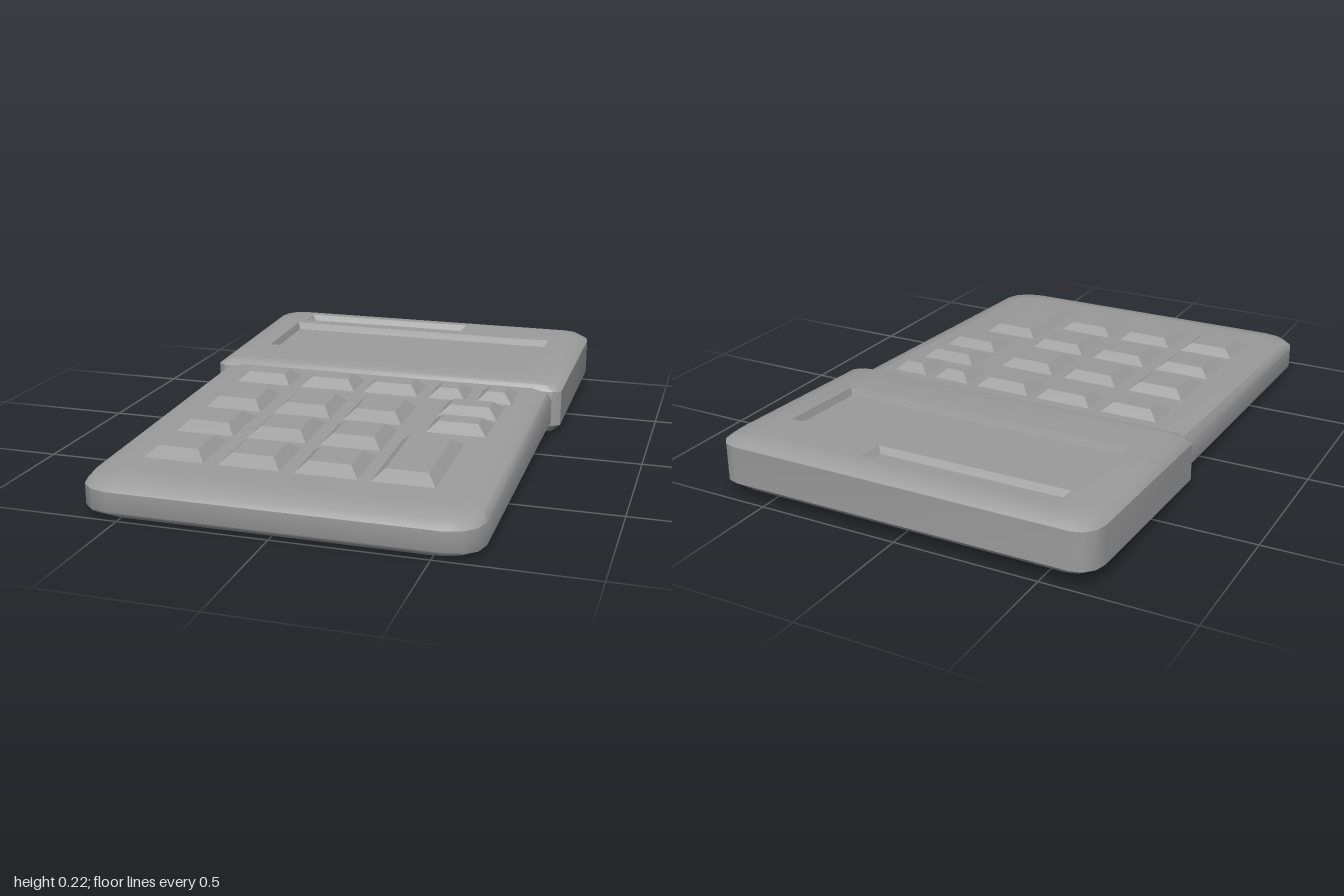
import * as THREE from 'three';
import { mergeGeometries, toCreasedNormals } from 'three/addons/utils/BufferGeometryUtils.js';

const grey = new THREE.MeshStandardMaterial({ color: 0x9b9b9b });

// Rectangle outline in x/z; each corner style is [size x, size z, segments] or null for sharp.
function outline(x0, x1, z0, z1, back = null, front = null) {
  const pts = [];
  const corners = [[x1, z1, -1, -1, front, 0], [x0, z1, 1, -1, front, 1],
    [x0, z0, 1, 1, back, 2], [x1, z0, -1, 1, back, 3]];
  for (const [x, z, sx, sz, c, q] of corners) {
    if (!c) { pts.push([x, z]); continue; }
    for (let i = 0; i <= c[2]; i++) {
      const a = (q + i / c[2]) * Math.PI / 2;
      pts.push([x + c[0] * (sx + Math.cos(a)), z + c[1] * (sz + Math.sin(a))]);
    }
  }
  return pts;
}

// Skin through rings of { y, pts }, optionally closed by a flat cap on the last ring.
function loft(rings, capEnd) {
  const pos = [], idx = [], n = rings[0].pts.length;
  rings.forEach(r => r.pts.forEach(p => pos.push(p[0], r.y, p[1])));
  for (let k = 0; k + 1 < rings.length; k++) {
    for (let i = 0; i < n; i++) {
      const a = k * n + i, b = k * n + (i + 1) % n;
      idx.push(a, a + n, b, b, a + n, b + n);
    }
  }
  const g = new THREE.BufferGeometry();
  g.setAttribute('position', new THREE.Float32BufferAttribute(pos, 3));
  g.setIndex(idx);
  const skin = g.toNonIndexed();
  return capEnd ? mergeGeometries([skin, plate(rings[rings.length - 1], true)]) : skin;
}

// Flat face filling one ring, with optional rectangular holes, looking up or down.
function plate({ y, pts }, up, holes = []) {
  const flat = list => list.map(p => new THREE.Vector2(p[0], up ? -p[1] : p[1]));
  const shape = new THREE.Shape(flat(pts));
  holes.forEach(h => shape.holes.push(new THREE.Path(flat(h))));
  const g = new THREE.ShapeGeometry(shape).rotateX(up ? -Math.PI / 2 : Math.PI / 2)
    .translate(0, y, 0).toNonIndexed();
  g.deleteAttribute('uv');
  g.deleteAttribute('normal');
  return g;
}

// Apply a height rule y(y, z), then rebuild the normals.
function tilt(g, rule, crease) {
  const p = g.attributes.position;
  for (let i = 0; i < p.count; i++) p.setY(i, rule(p.getY(i), p.getZ(i)));
  return toCreasedNormals(g, crease);
}

// The keypad half thickens and rises toward the back; the head rises on its own slope.
const bodyRule = (y, z) => {
  const t = (0.95 - z) / 1.2;
  return Math.max(0, y * (1 + 0.12 * t) + 0.03 * t);
};
const headRule = (y, z) => y + 0.036 * Math.max(0, -0.25 - z);

export function createModel() {
  const group = new THREE.Group();
  const add = (name, g, rule, crease = 0.75, parent = group) => {
    const m = new THREE.Mesh(tilt(g, rule, crease), grey);
    m.name = name;
    parent.add(m);
  };

  // Keypad body: height, half width, front z
  const bodyRings = [[0, 0.615, 0.965], [0.02, 0.643, 0.995], [0.03, 0.643, 1], [0.095, 0.643, 1],
    [0.118, 0.625, 0.975], [0.128, 0.57, 0.91]].map(([y, w, zf]) =>
    ({ y, pts: outline(-w, w, -0.3, zf, null, [0.11, 0.1, 3]) }));
  add('keypadBody', loft(bodyRings, true), bodyRule);
  add('keypadBase', plate(bodyRings[0], false), bodyRule);

  // Display head: height, half width, back z, front z; its front corners are chamfered
  const headRings = [[0, 0.64, -0.955, -0.25], [0.035, 0.675, -1, -0.222], [0.165, 0.675, -1, -0.222],
    [0.186, 0.648, -0.975, -0.236], [0.195, 0.6, -0.935, -0.25]].map(([y, w, zb, zf]) =>
    ({ y, pts: outline(-w, w, zb, zf, [0.075, 0.085, 3], [0.03, 0.025, 1]) }));
  const top = headRings[headRings.length - 1];

  // Recesses cut into the head: x0, x1, z0, z1, depth, wall slope
  const rims = [];
  for (const [name, x0, x1, z0, z1, depth, s] of [
    ['displayRecess', -0.535, 0.535, -0.775, -0.44, 0.025, 0.01],
    ['solarSlot', -0.515, 0.165, -0.91, -0.815, 0.02, 0.018]]) {
    const rim = outline(x0, x1, z0, z1);
    rims.push(rim);
    add(name, loft([{ y: top.y, pts: rim },
      { y: top.y - depth, pts: outline(x0 + s, x1 - s, z0 + s, z1 - s) }], true), headRule, 0.3);
  }
  add('displayHead', mergeGeometries([loft(headRings, false), plate(top, true, rims)]), headRule);
  add('headBase', plate(headRings[0], false), headRule);

  // Keys: tapered blocks given by x0, x1, z0, z1, with a longer slope at the front
  const keys = new THREE.Group();
  keys.name = 'keys';
  group.add(keys);
  const key = (name, x0, x1, z0, z1) => {
    const front = z1 - z0 > 0.17 ? 0.048 : 0.042;
    add(name, loft([{ y: 0.126, pts: outline(x0, x1, z0, z1) },
      { y: 0.156, pts: outline(x0 + 0.036, x1 - 0.036, z0 + 0.033, z1 - front) }], true),
    bodyRule, 0.3, keys);
  };
  const columns = [[-0.51, -0.3], [-0.255, -0.043], [0, 0.213]];
  for (const z of [0.07, 0.32, 0.57])
    for (const [a, b] of columns) key('numberKey', a, b, z, z + 0.21);
  for (const [a, b] of [[-0.51, -0.3], [-0.26, -0.05], [-0.02, 0.19], [0.225, 0.365], [0.4, 0.535]])
    key('functionKey', a, b, -0.16, -0.02);
  for (const z of [0.01, 0.18]) key('operatorKey', 0.305, 0.515, z, z + 0.14);
  key('tallKey', 0.25, 0.46, 0.4, 0.78);

  return group;
}
